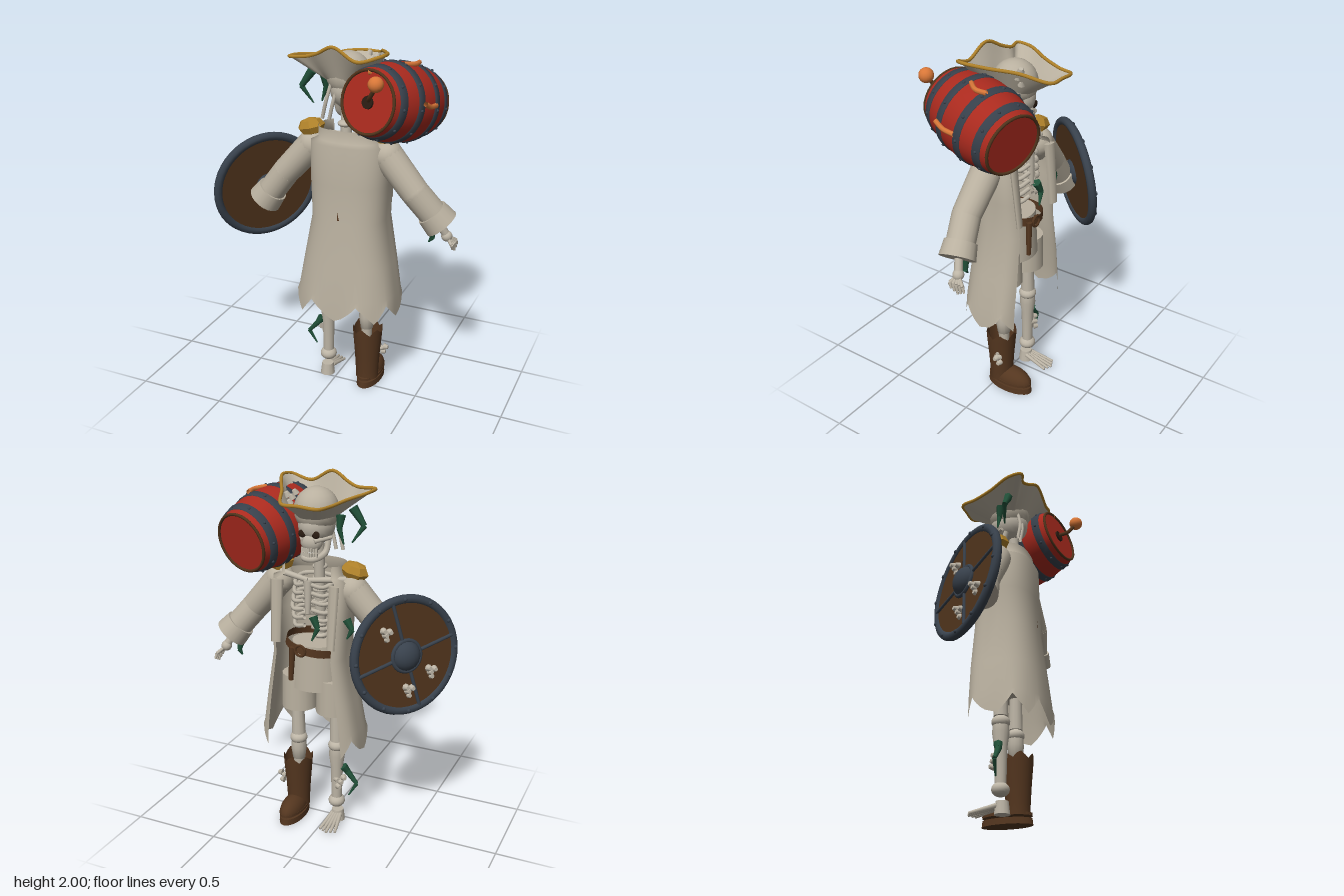
import * as THREE from 'three';

const V = (x, y, z) => new THREE.Vector3(x, y, z);
const UP = V(0, 1, 0);
const paint = (name, color) => {
  const m = new THREE.MeshStandardMaterial({ color, side: THREE.DoubleSide });
  m.name = name;
  return m;
};
const M = {
  cloth: paint('cloth', 0xb9b09f), bone: paint('bone', 0xbdb5a6), red: paint('red', 0xaa2a1e),
  steel: paint('steel', 0x38414c), wood: paint('wood', 0x50341c), leather: paint('leather', 0x54361f),
  gold: paint('gold', 0xb0822a), ember: paint('ember', 0xd87738), weed: paint('weed', 0x22523a),
  hollow: paint('hollow', 0x2a1c12),
};

function add(parent, name, geo, mat, pos = V(0, 0, 0)) {
  const m = new THREE.Mesh(geo, mat);
  m.name = name;
  m.position.copy(pos);
  parent.add(m);
  return m;
}
// Tapered rod between two points
function rod(parent, name, a, b, r1, r2, mat, sides = 12) {
  const d = b.clone().sub(a);
  const m = add(parent, name, new THREE.CylinderGeometry(r2, r1, d.length(), sides), mat, a.clone().add(b).multiplyScalar(0.5));
  m.quaternion.setFromUnitVectors(UP, d.normalize());
  return m;
}
const ball = (parent, name, p, r, mat, s = [1, 1, 1]) => {
  const m = add(parent, name, new THREE.SphereGeometry(r, 18, 12), mat, p);
  m.scale.set(...s);
  return m;
};
const tube = (parent, name, pts, r, mat, closed = false, n = 32) =>
  add(parent, name, new THREE.TubeGeometry(new THREE.CatmullRomCurve3(pts, closed), n, r, 7, closed), mat);
// Skin over rows of points
function loft(rows) {
  const n = rows[0].length, idx = [];
  for (let j = 0; j < rows.length - 1; j++) for (let i = 0; i < n - 1; i++) {
    const a = j * n + i;
    idx.push(a, a + 1, a + n, a + 1, a + n + 1, a + n);
  }
  const g = new THREE.BufferGeometry().setFromPoints(rows.flat());
  g.setIndex(idx);
  g.computeVertexNormals();
  return g;
}
const lathe = (pts, n = 28) => new THREE.LatheGeometry(pts.map(p => new THREE.Vector2(...p)), n);
function barnacles(parent, p, out) {
  [[0, 0, 0], [0.025, 0.012, 0], [-0.015, 0.025, 0.01], [0.008, -0.026, -0.01]].forEach(o => {
    const a = p.clone().add(V(...o));
    rod(parent, 'barnacle', a, a.clone().addScaledVector(out, 0.025), 0.02, 0.011, M.bone, 8);
  });
}
function seaweed(parent, pts) {
  for (let i = 0; i < pts.length - 1; i++) {
    const w = r => 0.022 * (1 - r / (pts.length - 1)) + 0.004;
    rod(parent, 'seaweed', V(...pts[i]), V(...pts[i + 1]), w(i), w(i + 1), M.weed, 6);
  }
}

function coat(g) {
  const rows = [[1.55, 0.172, 0.085, -0.13], [1.485, 0.172, 0.09, -0.14], [1.47, 0.215, 0.115, -0.175], [1.25, 0.217, 0.12, -0.2],
    [1.05, 0.207, 0.13, -0.215], [0.8, 0.25, 0.16, -0.225], [0.62, 0.28, 0.18, -0.225], [0.55, 0.29, 0.188, -0.225]];
  const N = 54, hem = [-0.06, -0.04, -0.015, 0.01, 0.04, 0.02, 0, -0.02, -0.04];
  const pts = rows.map(([y, w, zb, zf], j) => Array.from({ length: N + 1 }, (_, i) => {
    const a = (i / N * 2 - 1) * 2.33;
    const c = Math.cos(a), s = Math.sin(a), mid = (zb + zf) / 2, h = (zb - zf) / 2;
    const zig = j === rows.length - 1 ? hem[i % 9] : 0;
    return V(0.075 + w * Math.sign(s) * Math.abs(s) ** 0.8, y + zig, mid + h * Math.sign(c) * Math.abs(c) ** (c < 0 ? 0.5 : 0.8));
  }));
  add(g, 'coat', loft(pts), M.cloth);
  for (const s of [-1, 1]) {
    rod(g, 'lapel', V(0.075 + s * 0.165, 1.46, -0.15), V(0.075 + s * 0.16, 1.12, -0.185), 0.035, 0.028, M.cloth, 8).scale.z = 0.5;
    const dome = new THREE.SphereGeometry(0.08, 7, 4).toNonIndexed();
    dome.computeVertexNormals();
    const e = add(g, 'epaulette', dome, M.gold, V(0.06 + s * 0.215, 1.52, -0.03));
    e.scale.set(1, 0.62, 0.8);
    e.rotation.z = -s * 0.25;
  }
  // Trousers and belt
  const hip = add(g, 'hips', new THREE.CylinderGeometry(0.135, 0.15, 0.26, 24), M.cloth, V(0.07, 0.97, -0.03));
  hip.scale.z = 0.85;
  for (const x of [-0.04, 0.17]) rod(g, 'trouserLeg', V(x, 0.9, -0.04), V(x, 0.7, -0.04), 0.095, 0.1, M.cloth, 16);
  const belt = add(g, 'belt', new THREE.CylinderGeometry(0.165, 0.168, 0.045, 28, 1, true), M.leather, V(0.07, 1.09, -0.03));
  belt.scale.z = 0.95;
  belt.rotation.z = 0.15;
  add(g, 'buckle', new THREE.TorusGeometry(0.03, 0.008, 6, 12), M.leather, V(0.09, 1.09, -0.19));
  rod(g, 'beltStrap', V(0.14, 1.1, -0.18), V(0.15, 0.91, -0.185), 0.018, 0.013, M.leather, 6);
}

function arm(g, s, a, e, w, fingerTips) {
  rod(g, 'upperSleeve', a, e, 0.082, 0.076, M.cloth, 20);
  ball(g, 'shoulder', a, 0.083, M.cloth);
  ball(g, 'elbow', e, 0.076, M.cloth);
  rod(g, 'lowerSleeve', e, w, 0.076, 0.076, M.cloth, 20);
  const d = w.clone().sub(e).normalize();
  rod(g, 'cuff', w.clone().addScaledVector(d, -0.045), w.clone().addScaledVector(d, 0.04), 0.086, 0.096, M.cloth, 20);
  const palm = w.clone().lerp(fingerTips, 0.55);
  rod(g, 'forearmBone', w, palm, 0.022, 0.022, M.bone);
  ball(g, 'palm', palm, 0.03, M.bone);
  for (let i = -2; i <= 2; i++) {
    const k = palm.clone().lerp(fingerTips, 0.5).add(V(0.016 * s, 0.006, i * 0.02));
    rod(g, 'finger', palm, k, 0.009, 0.01, M.bone, 7);
    rod(g, 'fingertip', k, fingerTips.clone().add(V(0, Math.abs(i) * 0.01, i * 0.02)), 0.01, 0.006, M.bone, 7);
  }
}

function skeleton(g) {
  rod(g, 'spine', V(0.065, 1.08, 0.02), V(0.06, 1.66, -0.01), 0.03, 0.03, M.bone);
  for (let i = 0; i < 8; i++) ball(g, 'vertebra', V(0.065, 1.12 + i * 0.065, 0.015), 0.042, M.bone, [1, 0.45, 1]);
  for (let i = 0; i < 6; i++) {
    const y = 1.22 + i * 0.046, r = 0.13 - Math.abs(i - 2) * 0.007;
    for (const s of [-1, 1]) tube(g, 'rib', [V(0.065, y + 0.02, 0.03), V(0.065 + s * r * 0.85, y + 0.01, 0.015), V(0.065 + s * r, y, -0.05),
      V(0.065 + s * r * 0.7, y - 0.015, -0.12), V(0.065 + s * 0.02, y, -0.14)], 0.012, M.bone, false, 20);
  }
  rod(g, 'breastbone', V(0.065, 1.29, -0.142), V(0.065, 1.47, -0.13), 0.014, 0.026, M.bone);
  for (const s of [-1, 1]) rod(g, 'collarbone', V(0.065, 1.47, -0.13), V(0.065 + s * 0.19, 1.48, -0.07), 0.014, 0.017, M.bone);
  // Skull
  ball(g, 'cranium', V(0.06, 1.75, -0.035), 0.105, M.bone, [0.92, 1, 1.05]);
  ball(g, 'face', V(0.06, 1.67, -0.1), 0.055, M.bone, [1.1, 1, 0.8]);
  tube(g, 'jaw', [V(-0.005, 1.68, -0.03), V(0.0, 1.61, -0.06), V(0.03, 1.585, -0.125), V(0.09, 1.585, -0.125), V(0.12, 1.61, -0.06), V(0.125, 1.68, -0.03)], 0.017, M.bone);
  for (const s of [-1, 1]) {
    ball(g, 'eyeSocket', V(0.06 + s * 0.038, 1.715, -0.129), 0.023, M.hollow, [1, 0.9, 0.35]);
    rod(g, 'cheekbone', V(0.06 + s * 0.03, 1.68, -0.135), V(0.06 + s * 0.09, 1.69, -0.05), 0.013, 0.01, M.bone);
  }
  const nose = add(g, 'noseHole', new THREE.ConeGeometry(0.012, 0.03, 3), M.hollow, V(0.06, 1.678, -0.14));
  nose.scale.z = 0.4;
  for (let i = -3; i <= 3; i++) for (const y of [1.632, 1.606])
    add(g, 'tooth', new THREE.BoxGeometry(0.011, 0.021, 0.012), M.bone, V(0.06 + i * 0.0135, y, -0.137 + Math.abs(i) * 0.004));
  for (const x of [-0.04, 0.0]) tube(g, 'hairLock', [V(x + 0.035, 1.79, 0.04), V(x + 0.015, 1.7, 0.06), V(x - 0.01, 1.6, 0.055)], 0.01, M.bone, false, 10);
  // Legs
  for (const [x, low] of [[-0.06, 0.12], [0.18, 0.3]]) {
    rod(g, 'thighBone', V(x + 0.005, 0.8, -0.04), V(x, 0.52, -0.04), 0.032, 0.04, M.bone);
    ball(g, 'knee', V(x, 0.49, -0.04), 0.05, M.bone, [1, 0.75, 1]);
    add(g, 'shinBone', lathe([[0.03, low], [0.032, low + 0.1], [0.036, 0.36], [0.046, 0.43], [0.042, 0.47]], 14), M.bone, V(x, 0, -0.04));
  }
  ball(g, 'ankle', V(-0.06, 0.13, -0.04), 0.048, M.bone, [1, 0.8, 1]);
  rod(g, 'heel', V(-0.062, 0, -0.03), V(-0.062, 0.068, -0.03), 0.042, 0.034, M.bone);
  for (let i = -2; i <= 2; i++) rod(g, 'toe', V(-0.062 + i * 0.012, 0.045, -0.05), V(-0.068 + i * 0.023, 0.01, -0.21 + Math.abs(i) * 0.01), 0.013, 0.008, M.bone, 7);
}

function boot(parent) {
  const g = new THREE.Group();
  g.name = 'boot';
  g.position.set(0.19, 0, -0.03);
  parent.add(g);
  const rows = [[0.05, 0.066], [0.1, 0.066], [0.2, 0.072], [0.33, 0.083], [0.37, 0.085]].map(([y, r], j) =>
    Array.from({ length: 25 }, (_, i) => V(r * Math.sin(i * Math.PI / 12), y + (j === 4 ? [0.014, -0.004, -0.02, 0.004][i % 4] : 0), r * Math.cos(i * Math.PI / 12))));
  add(g, 'shaft', loft(rows), M.leather);
  const foot = add(g, 'foot', new THREE.SphereGeometry(0.1, 18, 10, 0, Math.PI * 2, 0, Math.PI / 2), M.leather, V(0, 0.055, -0.07));
  foot.scale.set(0.66, 0.75, 1.3);
  add(g, 'upperSole', new THREE.CylinderGeometry(0.068, 0.068, 0.015, 24), M.leather, V(0, 0.055, -0.06)).scale.z = 2.05;
  add(g, 'sole', new THREE.CylinderGeometry(0.066, 0.068, 0.035, 24), M.leather, V(0, 0.0175, -0.06)).scale.z = 2.1;
}

function hat(g) {
  const rim = [[-0.06, 1.885, -0.285], [0.04, 1.895, -0.3], [0.13, 1.895, -0.29], [0.2, 1.935, -0.15], [0.27, 1.955, -0.02], [0.31, 1.97, 0.08],
    [0.29, 1.965, 0.14], [0.18, 1.935, 0.155], [0.05, 1.995, 0.145], [-0.05, 1.95, 0.12], [-0.11, 1.93, 0.105], [-0.2, 1.925, 0.125],
    [-0.2, 1.92, 0.05], [-0.13, 1.9, -0.09], [-0.09, 1.885, -0.2]].map(p => V(...p));
  const edge = new THREE.CatmullRomCurve3(rim, true).getSpacedPoints(72);
  const rows = [0, 0.2, 0.4, 0.6, 0.8, 1].map(t => edge.map(p => {
    const dir = V(p.x - 0.06, 0, p.z + 0.035), r = dir.length();
    dir.normalize().multiplyScalar(0.105 + (r - 0.105) * t);
    return V(0.06 + dir.x, 1.79 + (p.y - 1.79) * t, -0.035 + dir.z);
  }));
  add(g, 'hatBrim', loft(rows), M.cloth);
  tube(g, 'hatTrim', rim, 0.009, M.gold, true, 100);
  ball(g, 'hatCrown', V(0.06, 1.825, -0.035), 0.12, M.cloth);
  barnacles(g, V(0.15, 1.89, -0.13), V(0.3, 0.9, -0.3));
}

function barrel(parent) {
  const g = new THREE.Group();
  g.name = 'barrel';
  g.position.set(0.327, 1.71, -0.02);
  g.quaternion.setFromUnitVectors(UP, V(-0.13, 0.1, 0.48).normalize());
  parent.add(g);
  const R = y => 0.206 - 0.78 * y * y;
  const ys = Array.from({ length: 13 }, (_, i) => -0.245 + i * 0.49 / 12);
  add(g, 'staves', lathe(ys.map(y => [R(y), y]), 36), M.red);
  for (const s of [-1, 1]) {
    add(g, 'barrelEnd', new THREE.CylinderGeometry(0.155, 0.155, 0.01, 36), M.red, V(0, s * 0.236, 0));
    const rim = add(g, 'barrelRim', new THREE.TorusGeometry(0.157, 0.008, 8, 36), M.wood, V(0, s * 0.244, 0));
    rim.rotation.x = Math.PI / 2;
  }
  for (const y of [-0.19, -0.07, 0.07, 0.19]) {
    const a = y - 0.02, b = y + 0.02;
    add(g, 'hoop', lathe([[R(a) - 0.01, a], [R(a) + 0.006, a], [R(b) + 0.006, b], [R(b) - 0.01, b]], 36), M.steel);
    for (let i = 0; i < 10; i++) {
      const t = i * Math.PI / 5;
      ball(g, 'hoopRivet', V(Math.sin(t) * (R(y) + 0.005), y, Math.cos(t) * (R(y) + 0.005)), 0.008, M.steel);
    }
  }
  add(g, 'bung', new THREE.CylinderGeometry(0.032, 0.036, 0.03, 16), M.hollow, V(0, 0.235, 0));
  tube(parent, 'fuse', [V(0.265, 1.765, 0.2), V(0.29, 1.79, 0.255), V(0.34, 1.865, 0.295)], 0.011, M.wood);
  ball(parent, 'fuseSpark', V(0.34, 1.875, 0.3), 0.039, M.ember);
  for (const p of [[[0.41, 1.9, -0.12], [0.415, 1.905, -0.06], [0.37, 1.912, 0.0]], [[0.525, 1.75, 0.1], [0.535, 1.725, 0.05], [0.54, 1.715, -0.02]],
    [[0.25, 1.9, 0.18], [0.28, 1.898, 0.16], [0.3, 1.895, 0.11]]])
    tube(parent, 'emberStreak', p.map(q => V(...q)), 0.013, M.ember, false, 8);
}

function shield(parent) {
  const g = new THREE.Group();
  g.name = 'shield';
  g.position.set(-0.465, 1.12, -0.085);
  g.rotation.set(-0.12, Math.atan2(-0.777, -0.63), 0, 'YXZ'); // local +z is the outer face, leaning up
  parent.add(g);
  const disc = add(g, 'shieldBoard', new THREE.CylinderGeometry(0.3, 0.3, 0.025, 40), M.wood);
  disc.rotation.x = Math.PI / 2;
  add(g, 'shieldRim', new THREE.TorusGeometry(0.297, 0.024, 10, 48), M.steel);
  ball(g, 'boss', V(0, 0, 0.01), 0.08, M.steel, [1, 1, 0.75]);
  add(g, 'bossRing', new THREE.TorusGeometry(0.082, 0.012, 8, 28), M.steel, V(0, 0, 0.016));
  for (let i = 0; i < 4; i++) {
    const a = 0.24 + i * Math.PI / 2;
    rod(g, 'spoke', V(0, 0, 0.014), V(Math.cos(a) * 0.29, Math.sin(a) * 0.29, 0.014), 0.01, 0.01, M.steel, 8);
  }
  for (let i = 0; i < 12; i++) ball(g, 'rimRivet', V(Math.cos(i * Math.PI / 6) * 0.298, Math.sin(i * Math.PI / 6) * 0.298, 0.02), 0.011, M.steel);
  for (const [x, y] of [[-0.12, 0.13], [0.14, -0.11], [0, -0.19]]) barnacles(g, V(x, y, 0.012), V(0, 0, 1));
}

export function createModel() {
  const g = new THREE.Group();
  g.name = 'skeletonSailor';
  coat(g);
  skeleton(g);
  boot(g);
  hat(g);
  arm(g, -1, V(-0.15, 1.42, -0.04), V(-0.31, 1.24, -0.025), V(-0.42, 1.09, -0.02), V(-0.45, 1.01, -0.04));
  arm(g, 1, V(0.29, 1.42, -0.02), V(0.45, 1.24, -0.01), V(0.565, 1.1, -0.045), V(0.655, 0.91, -0.1));
  barrel(g);
  shield(g);
  // Sea growth
  seaweed(g, [[-0.12, 1.84, 0.02], [-0.185, 1.75, 0.02], [-0.125, 1.66, 0]]);
  seaweed(g, [[-0.08, 1.81, -0.04], [-0.075, 1.74, -0.05], [-0.1, 1.66, -0.05]]);
  seaweed(g, [[-0.1, 0.36, -0.04], [-0.12, 0.33, -0.03], [-0.18, 0.26, -0.03], [-0.135, 0.18, -0.04]]);
  seaweed(g, [[0.53, 1.04, -0.05], [0.54, 0.98, -0.06], [0.52, 0.95, -0.06]]);
  seaweed(g, [[0.03, 1.28, -0.15], [0.0, 1.22, -0.16], [0.03, 1.15, -0.17]]);
  seaweed(g, [[-0.15, 1.28, -0.12], [-0.185, 1.23, -0.13], [-0.16, 1.18, -0.14]]);
  barnacles(g, V(0.255, 0.23, -0.06), V(1, 0, 0));
  barnacles(g, V(-0.09, 0.27, -0.06), V(-0.7, 0, -0.7));
  return g;
}
